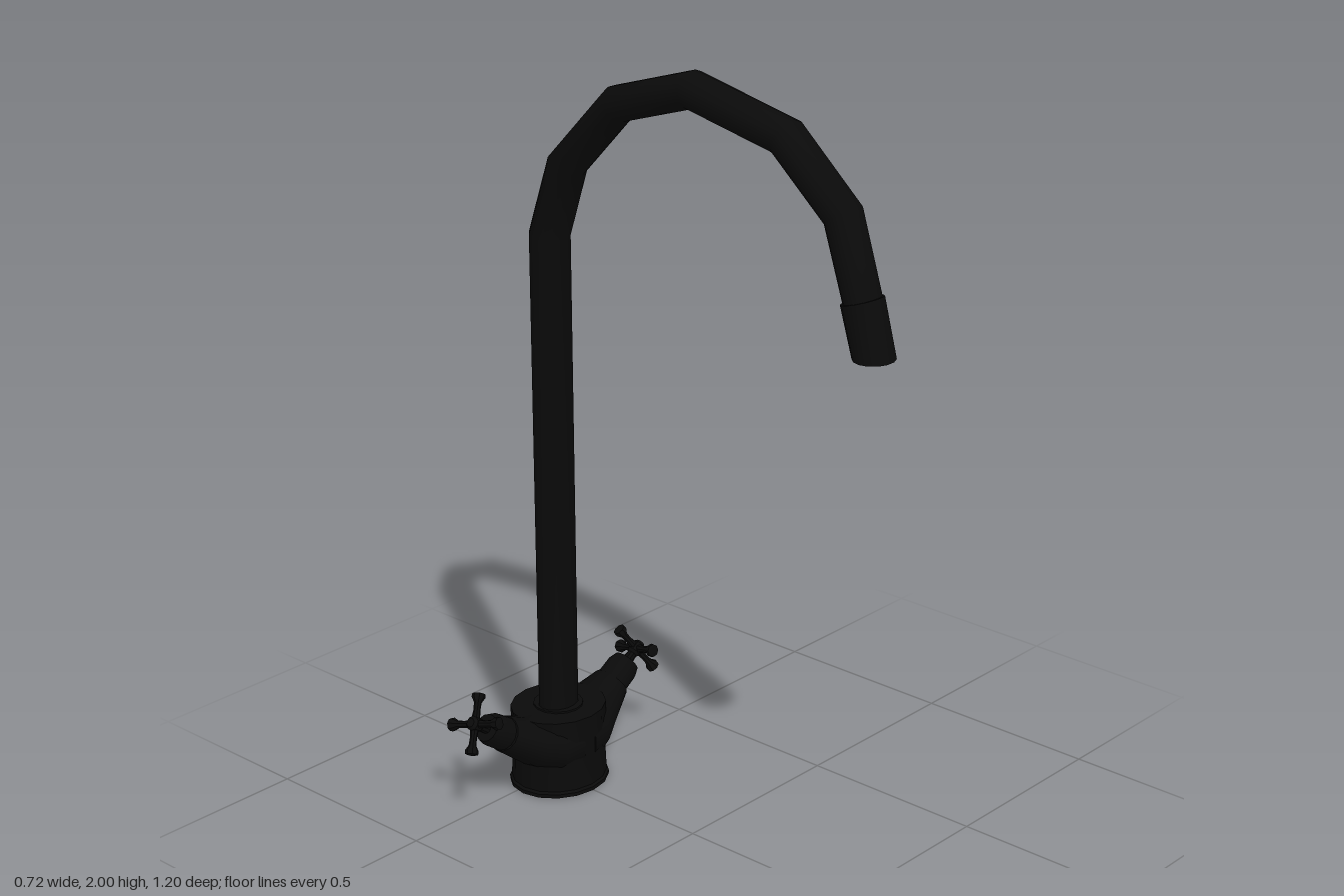
import * as THREE from 'three';
import { toCreasedNormals } from 'three/addons/utils/BufferGeometryUtils.js';

const V = (x, y, z) => new THREE.Vector3(x, y, z);
const BASE_Z = -0.477;
const material = new THREE.MeshStandardMaterial({ color: 0x0a0a0a });

// Skin over elliptical rings { c: centre, u, v: half axes }, with u x v along the travel; ends are capped.
function loft(rings, sides) {
  const pos = [];
  const rows = rings.map(({ c, u, v }) => Array.from({ length: sides }, (_, j) => {
    const a = (j / sides) * Math.PI * 2;
    return c.clone().addScaledVector(u, Math.cos(a)).addScaledVector(v, Math.sin(a));
  }));
  const tri = (...pts) => pts.forEach((p) => pos.push(p.x, p.y, p.z));
  const last = rows.length - 1;
  for (let j = 0; j < sides; j++) {
    const k = (j + 1) % sides;
    for (let i = 0; i < last; i++) {
      tri(rows[i][j], rows[i][k], rows[i + 1][k]);
      tri(rows[i][j], rows[i + 1][k], rows[i + 1][j]);
    }
    tri(rings[0].c, rows[0][k], rows[0][j]);
    tri(rings[last].c, rows[last][j], rows[last][k]);
  }
  const g = new THREE.BufferGeometry();
  g.setAttribute('position', new THREE.Float32BufferAttribute(pos, 3));
  return toCreasedNormals(g, 0.7);
}

function mesh(name, geometry, parent) {
  const m = new THREE.Mesh(geometry, material);
  m.name = name;
  parent.add(m);
  return m;
}

// Turned part along +y from [radius, y] pairs
function turned(profile, sides) {
  const g = new THREE.LatheGeometry(profile.map(([r, y]) => new THREE.Vector2(r, y)), sides);
  return toCreasedNormals(g, 0.6);
}

// Swan-neck pipe with mitred bends, narrowing towards the outlet
function spoutGeometry() {
  const path = [
    [0.2, -0.475], [1.51, -0.475], [1.7, -0.41], [1.882, -0.235],
    [1.957, 0], [1.897, 0.285], [1.747, 0.455], [1.54, 0.522],
  ].map(([y, z]) => V(0, y, z));
  const n = path.length - 1;
  const rings = path.map((c, i) => {
    const before = path[i].clone().sub(path[Math.max(i - 1, 0)]).normalize();
    const after = path[Math.min(i + 1, n)].clone().sub(path[i]).normalize();
    const t = before.clone().add(after).normalize();
    const miter = 1 / Math.max(t.dot(after), t.dot(before));
    const f = i < 2 ? 0 : (i - 1) / (n - 1);
    const u = V(1, 0, 0);
    const v = t.clone().cross(u).multiplyScalar((0.046 - 0.003 * f) * miter);
    return { c, u: u.multiplyScalar(0.059 - 0.008 * f), v };
  });
  return loft(rings, 14);
}

// Outlet sleeve, cut level at the bottom
function nozzleGeometry() {
  return loft([
    { c: V(0, 1.56, 0.515), u: V(0.055, 0, 0), v: V(0, 0.014, 0.048) },
    { c: V(0, 1.428, 0.553), u: V(0.055, 0, 0), v: V(0, 0, 0.049) },
  ], 14);
}

// One valve on the +x side: shoulder, barrel, stem and cross handle
function makeValve(name) {
  const valve = new THREE.Group();
  valve.name = name;
  const angle = THREE.MathUtils.degToRad(33);
  const up = V(-Math.sin(angle), Math.cos(angle), 0);

  mesh('valveShoulder', loft([
    { c: V(0.02, 0.125, 0), u: V(0, 0.089, 0), v: V(0, 0, 0.12) },
    { c: V(0.08, 0.133, 0), u: V(0, 0.081, 0), v: V(0, 0, 0.112) },
    { c: V(0.128, 0.152, 0), u: V(-0.005, 0.065, 0), v: V(0, 0, 0.086) },
    { c: V(0.205, 0.203, 0), u: up.clone().multiplyScalar(0.047), v: V(0, 0, 0.051) },
  ], 14), valve);

  // Local frame whose y axis runs out along the valve
  const axis = new THREE.Group();
  axis.name = 'valveAxis';
  axis.position.set(0.202, 0.201, 0);
  axis.rotation.z = angle - Math.PI / 2;
  valve.add(axis);
  mesh('barrel', turned([[0, -0.01], [0.045, -0.01], [0.044, 0.05], [0.036, 0.074], [0, 0.074]], 14), axis);
  mesh('stem', turned([[0.016, 0.07], [0.013, 0.1], [0.019, 0.108], [0.019, 0.132], [0.012, 0.14], [0, 0.14]], 10), axis);

  // Four flared spokes, slightly turned
  const handle = new THREE.Group();
  handle.name = 'crossHandle';
  handle.position.y = 0.12;
  handle.rotation.y = THREE.MathUtils.degToRad(-19);
  axis.add(handle);
  const spoke = turned([[0.013, 0], [0.009, 0.035], [0.01, 0.056], [0.018, 0.07], [0.017, 0.079], [0, 0.083]], 8);
  for (let i = 0; i < 4; i++) {
    const s = mesh('spoke', spoke, handle);
    s.rotation.set(Math.PI / 2, 0, (i * Math.PI) / 2, 'YXZ');
  }
  return valve;
}

export function createModel() {
  const model = new THREE.Group();
  model.name = 'mixerTap';

  mesh('spout', spoutGeometry(), model);
  mesh('nozzle', nozzleGeometry(), model);

  const base = new THREE.Group();
  base.name = 'base';
  base.position.z = BASE_Z;
  model.add(base);

  // Oval body with a thin foot flange
  const body = mesh('body', turned([
    [0, 0], [0.125, 0], [0.125, 0.01], [0.12, 0.016], [0.117, 0.09], [0.12, 0.215], [0, 0.215],
  ], 16), base);
  body.scale.x = 1.1;
  mesh('collar', turned([[0.066, 0.21], [0.066, 0.22], [0, 0.22]], 14), base);

  const left = makeValve('leftValve');
  base.add(left);

  // Mirrored valve on the other side
  const right = makeValve('rightValve');
  right.scale.x = -1;
  base.add(right);
  return model;
}
